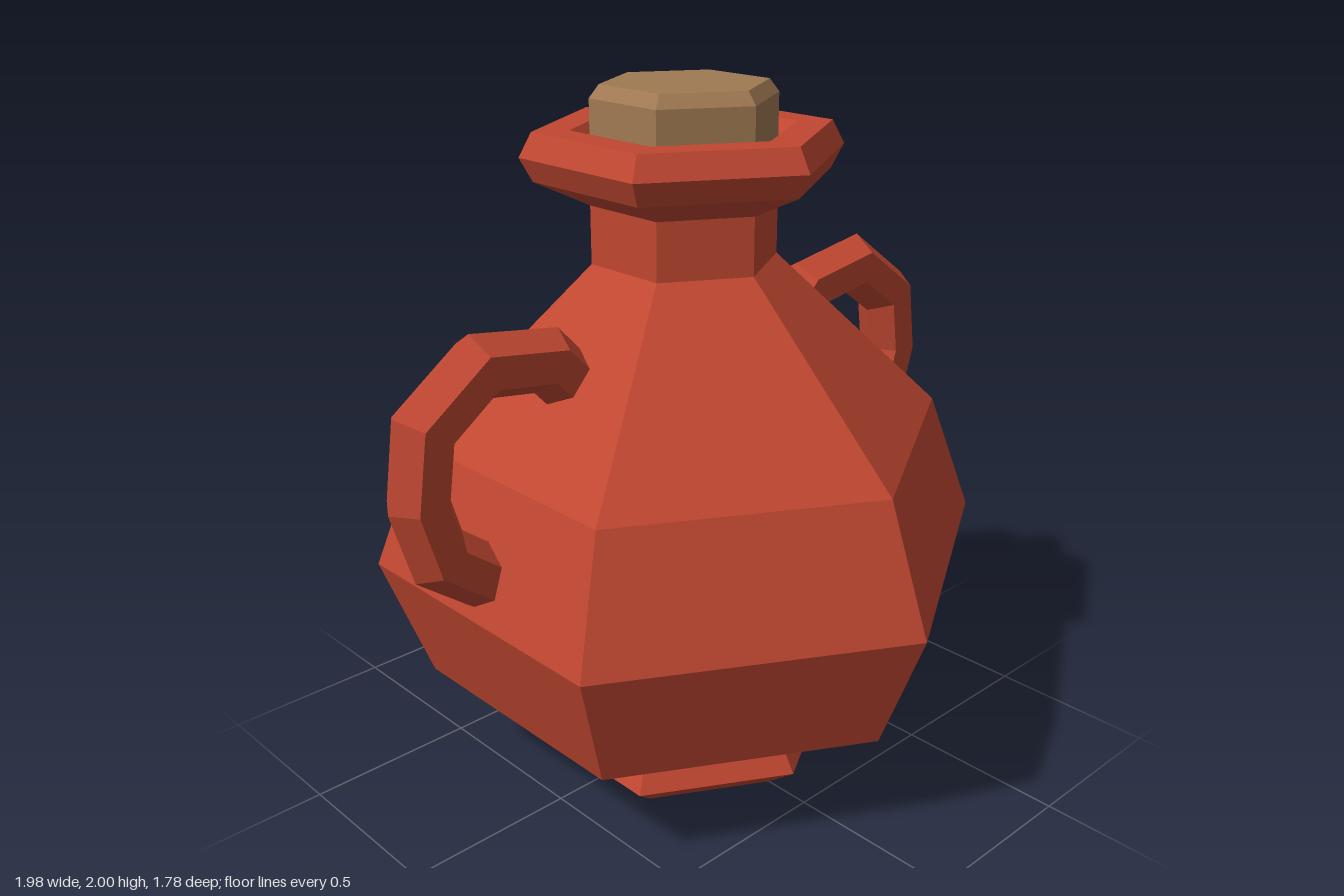
import * as THREE from 'three';

const clay = new THREE.MeshStandardMaterial({ name: 'terracotta', color: 0xc04731, flatShading: true });
const cork = new THREE.MeshStandardMaterial({ name: 'cork', color: 0xa07a53, flatShading: true });

// Six-sided turned form with corners on the z axis; profile runs bottom to top
function turned(name, profile, material) {
  const points = profile.map(([r, y]) => new THREE.Vector2(r, y));
  const mesh = new THREE.Mesh(new THREE.LatheGeometry(points, 6), material);
  mesh.name = name;
  return mesh;
}

// Hexagonal bar swept along a path in the xy plane with mitred joints
function sweptBar(path, radius) {
  const sides = 6;
  const pts = path.map(([x, y]) => new THREE.Vector2(x, y));
  const positions = [];
  const index = [];
  pts.forEach((p, i) => {
    const before = p.clone().sub(pts[Math.max(i - 1, 0)]).normalize();
    const after = pts[Math.min(i + 1, pts.length - 1)].clone().sub(p).normalize();
    const tangent = before.clone().add(after).normalize();
    const normal = new THREE.Vector2(-tangent.y, tangent.x);
    const along = i === 0 ? after : before;
    const mitre = 1 / tangent.dot(along);
    for (let k = 0; k < sides; k++) {
      const a = (k / sides) * Math.PI * 2;
      const d = Math.cos(a) * radius * mitre;
      positions.push(p.x + normal.x * d, p.y + normal.y * d, Math.sin(a) * radius);
    }
  });
  for (let i = 0; i < pts.length - 1; i++) {
    for (let k = 0; k < sides; k++) {
      const a = i * sides + k;
      const b = i * sides + ((k + 1) % sides);
      index.push(a, b, a + sides, b, b + sides, a + sides);
    }
  }
  // End caps
  const last = (pts.length - 1) * sides;
  for (let k = 1; k < sides - 1; k++) {
    index.push(0, k + 1, k, last, last + k, last + k + 1);
  }
  const geometry = new THREE.BufferGeometry();
  geometry.setAttribute('position', new THREE.Float32BufferAttribute(positions, 3));
  geometry.setIndex(index);
  geometry.computeVertexNormals();
  return geometry;
}

export function createModel() {
  const jug = new THREE.Group();
  jug.name = 'jug';

  // Foot ring
  jug.add(turned('foot', [[0, 0], [0.36, 0], [0.455, 0.075], [0.41, 0.15]], clay));

  // Belly and shoulder
  jug.add(turned('belly', [
    [0.41, 0.15], [0.755, 0.335], [0.89, 0.695], [0.755, 1.05], [0.26, 1.525],
  ], clay));

  // Neck and flared lip, folding into the mouth
  jug.add(turned('neckAndLip', [
    [0.26, 1.525], [0.26, 1.685], [0.41, 1.755], [0.445, 1.82],
    [0.41, 1.885], [0.31, 1.885], [0.25, 1.82],
  ], clay));

  // Stopper with chamfered top
  jug.add(turned('stopper', [[0, 1.75], [0.257, 1.75], [0.257, 1.965], [0.23, 2], [0, 2]], cork));

  // Pair of looped handles, ends sunk into the belly
  const handlePath = [
    [0.4, 1.25], [0.492, 1.347], [0.705, 1.38], [0.875, 1.258],
    [0.903, 1.072], [0.855, 0.91], [0.73, 0.815], [0.62, 0.735],
  ];
  const handleGeometry = sweptBar(handlePath, 0.085);
  ['leftHandle', 'rightHandle'].forEach((name, i) => {
    const handle = new THREE.Mesh(handleGeometry, clay);
    handle.name = name;
    handle.rotation.y = i * Math.PI;
    jug.add(handle);
  });

  return jug;
}
